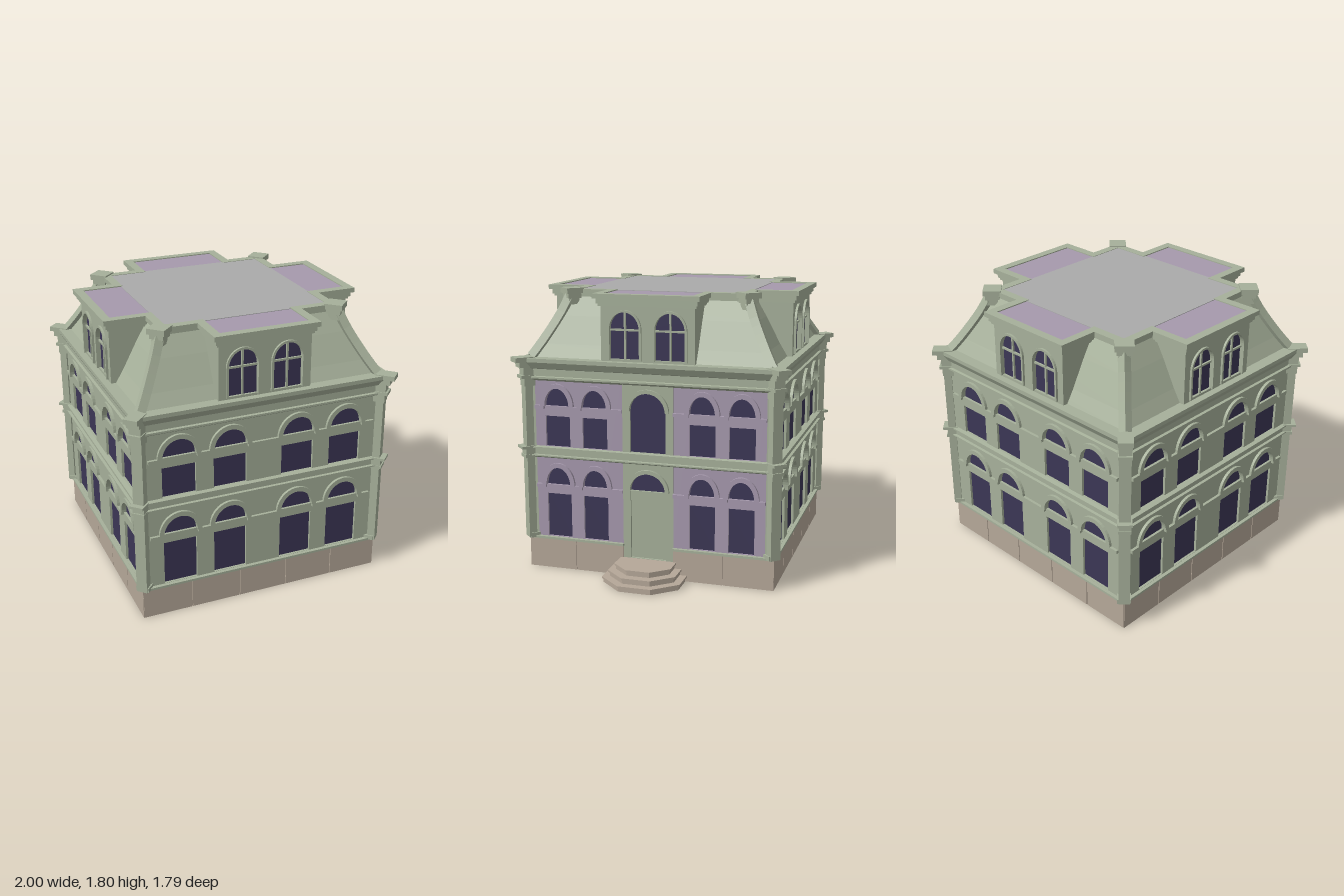
import * as THREE from 'three';

const mat = (color) => new THREE.MeshStandardMaterial({ color, flatShading: true, side: THREE.DoubleSide });
const green = mat(0xa6b09a), purple = mat(0xa699ad), stone = mat(0xb5a798),
  glass = mat(0x3b3655), roofGrey = mat(0xaaaaaa);

function add(parent, name, geometry, material, x = 0, y = 0, z = 0, ry = 0) {
  const m = new THREE.Mesh(geometry, material);
  m.name = name;
  m.position.set(x, y, z);
  m.rotation.y = ry;
  parent.add(m);
  return m;
}
const box = (w, h, d) => new THREE.BoxGeometry(w, h, d);
const extrude = (shape, depth) =>
  new THREE.ExtrudeGeometry(shape, { depth, bevelEnabled: false, curveSegments: 10 });

// Square ring with mitred corners, swept from a [half-width, height] profile
function squareRing(profile) {
  const pts = profile.map(([r, y]) => new THREE.Vector2(r * Math.SQRT2, y));
  return new THREE.LatheGeometry(pts, 4, Math.PI / 4);
}

function rectShape(x0, x1, y0, y1) {
  const s = new THREE.Shape();
  s.moveTo(x0, y0); s.lineTo(x1, y0); s.lineTo(x1, y1); s.lineTo(x0, y1);
  s.closePath();
  return s;
}

// Opening with an arched head; spring === y0 gives a plain lunette
function archShape(cx, hw, y0, spring, rise) {
  const s = new THREE.Shape();
  s.moveTo(cx - hw, y0);
  s.lineTo(cx + hw, y0);
  if (spring > y0) s.lineTo(cx + hw, spring);
  s.absellipse(cx, spring, hw, rise, 0, Math.PI, false);
  s.closePath();
  return s;
}

// Arched moulding over an opening
function hood(cx, hw, spring, rise, t) {
  const s = new THREE.Shape();
  s.moveTo(cx + hw + t, spring);
  s.absellipse(cx, spring, hw + t, rise + t, 0, Math.PI, false);
  s.lineTo(cx - hw, spring);
  s.absellipse(cx, spring, hw, rise, Math.PI, 0, true);
  s.closePath();
  return s;
}

// Wall slab with real openings, each filled by a recessed pane
function wallPiece(parent, u0, u1, y0, y1, openings, material, front = 0.8) {
  const shape = rectShape(u0, u1, y0, y1);
  openings.forEach((o) => {
    shape.holes.push(o.shape);
    add(parent, o.name || 'windowPane', new THREE.ShapeGeometry(o.shape, 10), o.material || glass, 0, 0, front - 0.016);
  });
  add(parent, 'wall', extrude(shape, 0.025), material, 0, 0, front - 0.025);
}

const floors = [{ sill: 0.212, head: 0.5, spring: 0.56 }, { sill: 0.812, head: 1.01, spring: 1.075 }];
const RISE = 0.115, TRIM = 0.03;

// Two-storey wall piece with a rectangular window and lunette at each centre
function windowWall(parent, u0, u1, centres, hw, material, c0 = u0, c1 = u1) {
  const openings = [];
  for (const f of floors) {
    let from = c0;
    for (const c of centres) {
      openings.push({ shape: rectShape(c - hw, c + hw, f.sill, f.head) });
      openings.push({ shape: archShape(c, hw, f.spring, f.spring, RISE) });
      add(parent, 'windowHood', extrude(hood(c, hw, f.spring, RISE, TRIM), 0.018), material, 0, 0, 0.8);
      const to = c - hw - 0.005;
      add(parent, 'stringCourse', box(to - from, 0.022, 0.018), material, (from + to) / 2, f.spring - 0.008, 0.809);
      from = c + hw + 0.005;
    }
    add(parent, 'stringCourse', box(c1 - from, 0.022, 0.018), material, (from + c1) / 2, f.spring - 0.008, 0.809);
  }
  wallPiece(parent, u0, u1, 0.2, 1.3, openings, material);
}

// Stone plinth blocks with a ledge on top
function plinth(parent, skipMiddle) {
  const w = 1.62 / 5;
  for (let i = -2; i <= 2; i++) {
    if (skipMiddle && i === 0) continue;
    add(parent, 'plinthBlock', box(w - 0.006, 0.195, 0.03), stone, i * w, 0.0975, 0.795);
    add(parent, 'plinthJoint', box(w, 0.195, 0.02), stone, i * w, 0.0975, 0.792);
    add(parent, 'plinthLedge', box(w, 0.015, 0.05), green, i * w, 0.203, 0.798);
  }
}

function dormer(parent) {
  const openings = [];
  for (const c of [-0.145, 0.145]) {
    openings.push({ shape: archShape(c, 0.095, 1.395, 1.58, 0.105) });
    add(parent, 'dormerHood', extrude(hood(c, 0.095, 1.58, 0.105, 0.014), 0.014), green, 0, 0, 0.8);
    for (const s of [-1, 1])
      add(parent, 'dormerJamb', box(0.014, 0.19, 0.014), green, c + s * 0.102, 1.485, 0.807);
    add(parent, 'mullion', box(0.012, 0.29, 0.012), green, c, 1.54, 0.79);
    add(parent, 'glazingBar', box(0.19, 0.012, 0.012), green, c, 1.575, 0.79);
  }
  wallPiece(parent, -0.3, 0.3, 1.38, 1.73, openings, green);
  for (const s of [-1, 1])
    add(parent, 'dormerCheek', box(0.02, 0.35, 0.25), green, s * 0.29, 1.555, 0.66);
  add(parent, 'dormerRoof', box(0.6, 0.015, 0.27), purple, 0, 1.782, 0.67);
}

// Cross outline: four arms of half-width a reaching d, over a square of half-width h
function crossPoints(a, d, h) {
  const q = [[d, -a], [d, a], [h, a], [h, h], [a, h]];
  const pts = [];
  for (let k = 0; k < 4; k++)
    for (const [x, y] of q)
      pts.push(new THREE.Vector2(...[[x, y], [-y, x], [-x, -y], [y, -x]][k]));
  return pts;
}
function crossRing(grow, height) {
  const s = new THREE.Shape(crossPoints(0.3 + grow, 0.8 + grow, 0.54 + grow));
  s.holes.push(new THREE.Path(crossPoints(0.285, 0.785, 0.525)));
  const g = extrude(s, height);
  g.rotateX(-Math.PI / 2);
  return g;
}

export function createModel() {
  const model = new THREE.Group();
  model.name = 'mansardHouse';
  const house = new THREE.Group();
  house.name = 'house';
  house.position.x = -0.105;
  model.add(house);

  // Four sides; the entrance is on the +x side
  ['front', 'right', 'back', 'left'].forEach((side, i) => {
    const g = new THREE.Group();
    g.name = side + 'Side';
    g.rotation.y = i * Math.PI / 2;
    house.add(g);
    plinth(g, side === 'right');
    dormer(g);
    if (side !== 'right') {
      windowWall(g, -0.8, 0.8, [-0.555, -0.225, 0.225, 0.555], 0.108, green, -0.75, 0.75);
      return;
    }
    for (const s of [-1, 1]) {
      const [a, b] = s < 0 ? [-0.75, -0.165] : [0.165, 0.75];
      windowWall(g, a, b, s < 0 ? [-0.6, -0.35] : [0.35, 0.6], 0.082, purple);
      wallPiece(g, s < 0 ? -0.8 : 0.75, s < 0 ? -0.75 : 0.8, 0.2, 1.3, [], green);
    }
    // Entrance bay with door, fanlight and tall window
    wallPiece(g, -0.165, 0.165, 0.03, 1.3, [
      { shape: rectShape(-0.115, 0.115, 0.12, 0.56), name: 'door', material: green },
      { shape: archShape(0, 0.115, 0.565, 0.565, 0.115) },
      { shape: archShape(0, 0.115, 0.812, 1.075, 0.115) },
    ], green, 0.804);
    add(g, 'doorTransom', box(0.23, 0.06, 0.012), green, 0, 0.53, 0.793);
    for (const y of [0.565, 1.075])
      add(g, 'bayHood', extrude(hood(0, 0.115, y, 0.115, 0.025), 0.016), green, 0, 0, 0.804);
  });

  // Mouldings running round the house
  add(house, 'floorBand', squareRing([[0.8, 0.735], [0.828, 0.748], [0.828, 0.756], [0.81, 0.758],
    [0.81, 0.796], [0.828, 0.798], [0.828, 0.808], [0.8, 0.812]]), green);
  add(house, 'entablature', squareRing([[0.8, 1.235], [0.825, 1.25], [0.825, 1.262], [0.808, 1.265],
    [0.808, 1.31], [0.822, 1.315], [0.845, 1.355], [0.845, 1.38], [0.76, 1.38]]), green);

  // Mansard slopes and flat top
  add(house, 'mansardSlope', squareRing([[0.77, 1.378], [0.72, 1.46], [0.63, 1.63], [0.56, 1.75]]), green);
  add(house, 'roofDeck', box(1.07, 0.02, 1.09), roofGrey, 0, 1.783, 0);
  [[0.012, 1.72, 0.016], [0.022, 1.736, 0.03], [0.04, 1.766, 0.03]].forEach(([grow, y, h]) =>
    add(house, 'roofCornice', crossRing(grow, h), green, 0, y, 0));

  // Diagonal corner pilasters, capitals and roof ridges
  for (let i = 0; i < 4; i++) {
    const c = new THREE.Group();
    c.name = 'corner';
    c.rotation.y = Math.PI / 4 + i * Math.PI / 2;
    house.add(c);
    const D = Math.SQRT2;
    add(c, 'pilaster', box(0.07, 1.07, 0.05), green, 0, 0.735, 0.803 * D);
    [[0.2, 0.03, 0.085, 0.815], [0.735, 0.02, 0.08, 0.83], [0.755, 0.04, 0.075, 0.825], [0.795, 0.017, 0.09, 0.845],
      [1.2, 0.05, 0.075, 0.825], [1.25, 0.02, 0.085, 0.838], [1.27, 0.05, 0.075, 0.828],
      [1.32, 0.035, 0.082, 0.845], [1.355, 0.03, 0.09, 0.865]].forEach(([y, h, w, reach]) =>
      add(c, 'pilasterMoulding', box(w, h, 0.13), green, 0, y + h / 2, reach * D - 0.065));
    const path = new THREE.CatmullRomCurve3([[0.775, 1.38], [0.72, 1.47], [0.63, 1.64], [0.585, 1.75]]
      .map(([r, y]) => new THREE.Vector3(0, y, r * D)));
    const ridge = new THREE.TubeGeometry(path, 8, 0.038, 4);
    add(c, 'roofRidge', ridge, green);
    [[1.7, 0.04, 0.07], [1.74, 0.03, 0.09], [1.77, 0.035, 0.115]].forEach(([y, h, w]) =>
      add(c, 'ridgeCap', box(w, h, w), green, 0, y + h / 2, 0.575 * D));
  }

  // Half-octagonal entrance steps
  [[0, 0.995, 0.255], [0.04, 0.96, 0.22], [0.08, 0.92, 0.185]].forEach(([y, reach, hw]) => {
    for (const [inset, y0, h] of [[0.01, y, 0.028], [0, y + 0.026, 0.012]]) {
      const r = reach - inset, w = hw - inset, k = w * 0.52;
      const s = new THREE.Shape([[0.69, -w], [r - k, -w], [r, -w * 0.42], [r, w * 0.42], [r - k, w], [0.69, w]]
        .map(([a, b]) => new THREE.Vector2(a, b)));
      const g = extrude(s, h);
      g.rotateX(-Math.PI / 2);
      add(model, inset ? 'stepRiser' : 'stepTread', g, stone, 0, y0, 0);
    }
  });

  return model;
}
